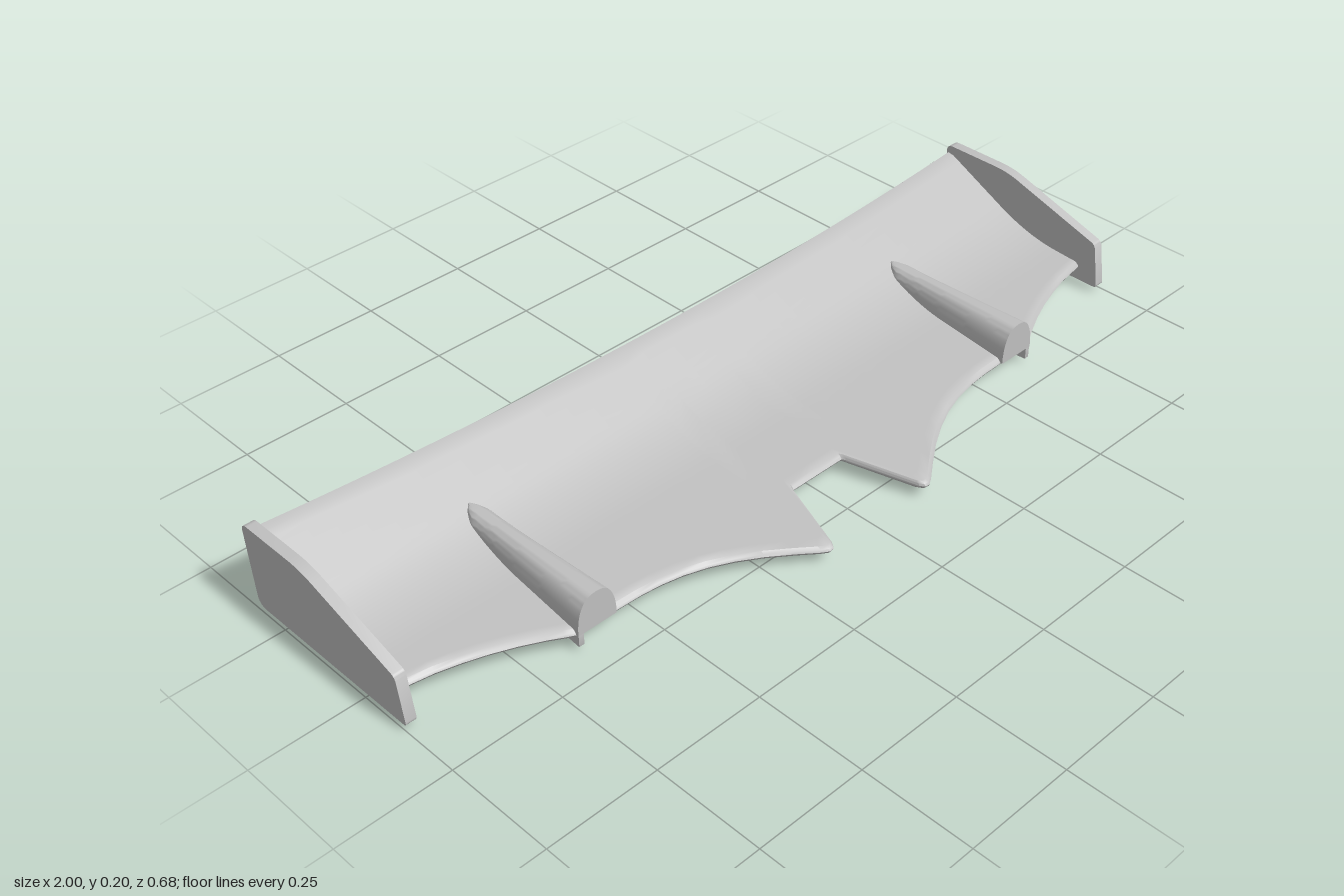
import * as THREE from 'three';
import { toCreasedNormals } from 'three/addons/utils/BufferGeometryUtils.js';

const grey = new THREE.MeshStandardMaterial({ color: 0xc0c0c0 });
grey.name = 'plain grey';

// Height of the wing's upper skin at depth z: flat in front, curling up at the back.
function skinY(z) {
  const t = Math.max(0, -z), w = 0.17, k = 0.435;
  return 0.06 - 0.0625 * z + (t < w ? (k * t * t) / (2 * w) : k * (t - w / 2));
}

// Leading edge in plan, for one half: [x, z].
const edge = [
  [0, 0.167], [0.07, 0.167], [0.075, 0.175], [0.127, 0.328], [0.134, 0.338], [0.145, 0.339], [0.16, 0.33],
  [0.2, 0.3], [0.25, 0.265], [0.3, 0.236], [0.35, 0.213], [0.4, 0.197], [0.45, 0.187], [0.5, 0.182],
  [0.56, 0.18], [0.65, 0.18], [0.67, 0.17], [0.7, 0.153], [0.75, 0.129], [0.8, 0.109], [0.85, 0.093],
  [0.9, 0.08], [0.985, 0.066],
];

// Closed section of the wing, from nose over the top to the trailing lip and back below.
function wingSection(x, front) {
  const back = -0.309 - 0.033 * x * x, thick = 0.018, n = 24;
  const pts = [[front, skinY(front) - 0.009], [front - 0.003, skinY(front) - 0.004]];
  const a = front - 0.01, b = back + 0.02;
  for (let i = 0; i <= n; i++) {
    const z = a + ((b - a) * i) / n;
    pts.push([z, skinY(z)]);
  }
  const lip = skinY(b) + 0.003;
  pts.push([back + 0.003, lip], [back, lip - 0.003], [back, lip - 0.014]);
  for (let i = n; i >= 0; i--) {
    const z = a + ((b - a) * i) / n;
    pts.push([z, skinY(z) - thick]);
  }
  pts.push([front - 0.003, skinY(front) - 0.014]);
  return pts;
}

function wingGeometry() {
  const stations = [...edge.slice(1).reverse().map(([x, z]) => [-x, z]), ...edge];
  const rings = stations.map(([x, z]) => wingSection(x, z));
  const n = rings[0].length, pos = [], index = [];
  rings.forEach((ring, s) => ring.forEach(([z, y]) => pos.push(stations[s][0], y, z)));
  for (let s = 0; s < rings.length - 1; s++) {
    for (let i = 0; i < n; i++) {
      const j = (i + 1) % n, a = s * n + i, b = s * n + j;
      index.push(a, a + n, b + n, a, b + n, b);
    }
  }
  const g = new THREE.BufferGeometry();
  g.setAttribute('position', new THREE.Float32BufferAttribute(pos, 3));
  g.setIndex(index);
  return toCreasedNormals(g, 0.6);
}

// Polygon with rounded corners; corners are [x, y, radius].
function roundedShape(corners) {
  const shape = new THREE.Shape(), n = corners.length;
  corners.forEach(([x, y, r], i) => {
    const c = new THREE.Vector2(x, y);
    const toward = (k) => new THREE.Vector2(corners[k][0], corners[k][1]).sub(c).setLength(r).add(c);
    const p = toward((i + n - 1) % n), q = toward((i + 1) % n);
    if (i) shape.lineTo(p.x, p.y);
    else shape.moveTo(p.x, p.y);
    shape.quadraticCurveTo(x, y, q.x, q.y);
  });
  shape.closePath();
  return shape;
}

// Side profile, drawn with u = -z, extruded across x and centred on x = 0.
function sidePlate(corners, thick) {
  const g = new THREE.ExtrudeGeometry(roundedShape(corners), { depth: thick, bevelEnabled: false, curveSegments: 6 });
  g.translate(0, 0, -thick / 2);
  g.rotateY(Math.PI / 2);
  return toCreasedNormals(g, 0.5);
}

// Tapering arched fairing that rises from the wing and fades into the curl.
function fairingGeometry() {
  const shape = new THREE.Shape(), n = 24;
  shape.moveTo(1, 0);
  for (let i = 1; i <= n; i++) {
    const a = (Math.PI * i) / n, c = Math.cos(a);
    shape.lineTo(Math.sign(c) * Math.pow(Math.abs(c), 0.8), Math.pow(Math.max(0, Math.sin(a)), 0.85));
  }
  shape.closePath();
  const length = 0.367;
  const g = new THREE.ExtrudeGeometry(shape, { depth: length, steps: 36, bevelEnabled: false });
  const p = g.attributes.position;
  for (let i = 0; i < p.count; i++) {
    const d = p.getZ(i), z = d - 0.182, t = d / length;
    const half = (0.024 + 0.023 * t) * Math.sqrt(Math.min(1, 0.03 + d / 0.035));
    const base = skinY(z) - 0.008;
    const top = Math.max(base + 0.003, 0.117 + 0.005 * t);
    p.setXYZ(i, p.getX(i) * half, base + p.getY(i) * (top - base), z);
  }
  return toCreasedNormals(g, 0.6);
}

// Open mounting ring below the wing.
function ringGeometry() {
  const profile = [[0.038, 0], [0.048, 0], [0.048, 0.045], [0.038, 0.045], [0.038, 0]];
  const g = new THREE.LatheGeometry(profile.map(([r, y]) => new THREE.Vector2(r, y)), 40);
  return toCreasedNormals(g, 0.5);
}

export function createModel() {
  const model = new THREE.Group();
  model.name = 'wing';
  const add = (name, geometry, x = 0, y = 0, z = 0) => {
    const mesh = new THREE.Mesh(geometry, grey);
    mesh.name = name;
    mesh.position.set(x, y, z);
    model.add(mesh);
    return mesh;
  };

  add('wingBlade', wingGeometry());

  const endPlate = sidePlate([
    [-0.122, 0.013, 0.008], [0.33, 0.013, 0.024], [0.343, 0.205, 0.018],
    [0.16, 0.205, 0.035], [-0.106, 0.122, 0.012],
  ], 0.024);
  const fence = sidePlate([
    [-0.185, 0.013, 0.002], [-0.08, 0.015, 0.02], [0.17, 0.088, 0.004],
    [0.165, 0.1, 0.003], [0, 0.053, 0.03], [-0.185, 0.05, 0.002],
  ], 0.012);
  const fairing = fairingGeometry();
  const ring = ringGeometry();

  for (const [side, s] of [['left', 1], ['right', -1]]) {
    add(side + 'EndPlate', endPlate, s * 0.988);
    add(side + 'Fairing', fairing, s * 0.606);
    add(side + 'Fence', fence, s * 0.634).rotation.y = s * 0.065;
    add(side + 'MountRing', ring, s * 0.158, 0, 0.112);
  }

  // Thin rib joining the two mounting rings
  add('mountRib', new THREE.BoxGeometry(0.62, 0.022, 0.012), 0, 0.034, 0.112);

  return model;
}
